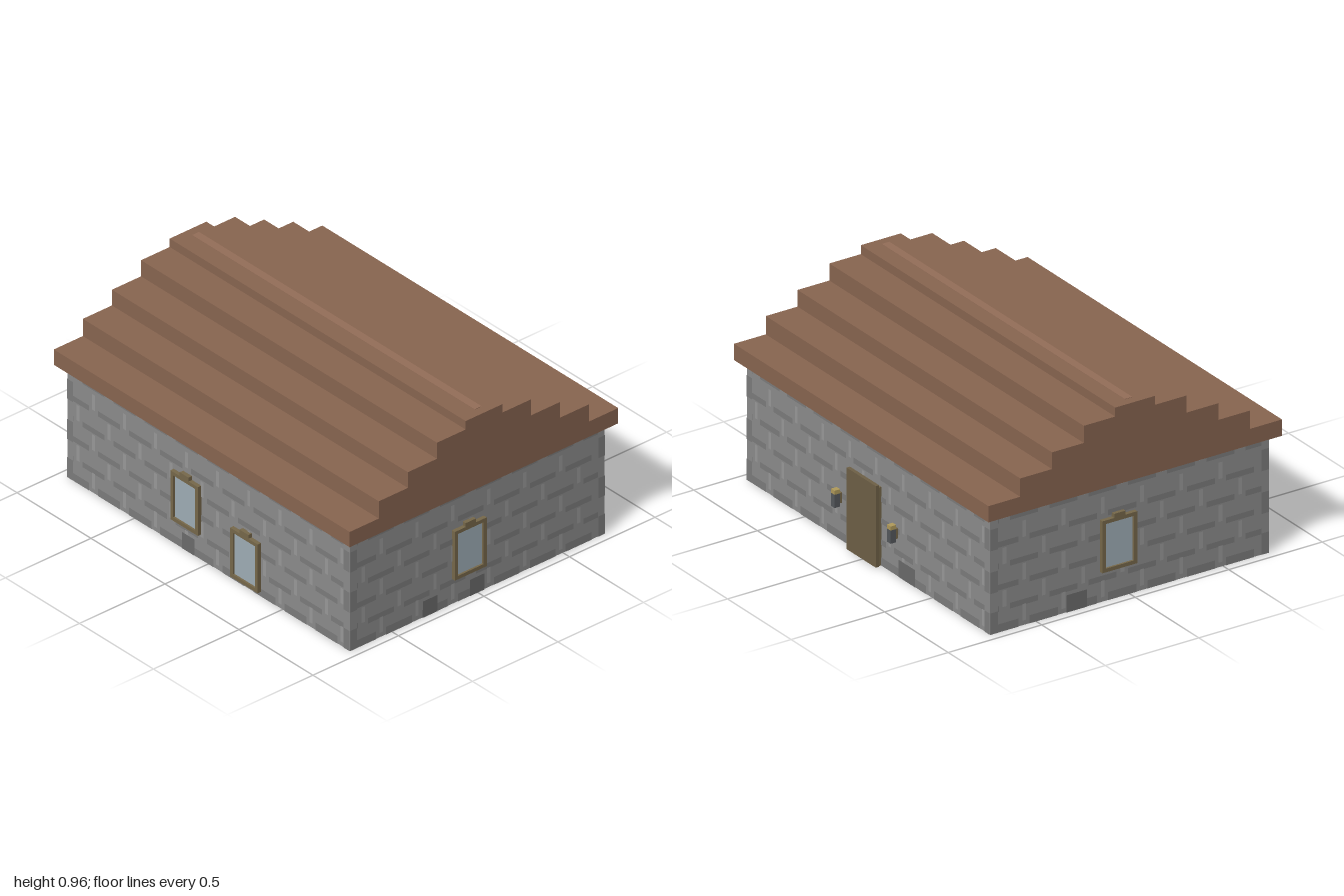
import * as THREE from 'three';
import { mergeGeometries } from 'three/addons/utils/BufferGeometryUtils.js';

const mat = (color) => new THREE.MeshStandardMaterial({ color, flatShading: true });
const M = {
  wall: mat(0x8c8c8c), mortar: mat(0x7c7c7c), light: mat(0x999999), block: mat(0x6b6b6b),
  roof: mat(0x886550), ridge: mat(0x946e58), frame: mat(0x76684a), glass: mat(0x9fadb6),
  door: mat(0x6e6046), metal: mat(0x55585c), lamp: mat(0xb09a5a),
};
const HX = 0.955, HZ = 0.745, WALL_H = 0.58;

// Box given by its lower and upper limits
function box(x0, x1, y0, y1, z0, z1) {
  return new THREE.BoxGeometry(x1 - x0, y1 - y0, z1 - z0)
    .translate((x0 + x1) / 2, (y0 + y1) / 2, (z0 + z1) / 2);
}
// Thin stone facing just proud of the wall
function plate(x0, x1, y0, y1, z = 0.002) {
  return new THREE.PlaneGeometry(x1 - x0, y1 - y0).translate((x0 + x1) / 2, (y0 + y1) / 2, z);
}
function add(parent, name, geometry, material) {
  const mesh = new THREE.Mesh(geometry, material);
  mesh.name = name;
  parent.add(mesh);
  return mesh;
}

// Courses of stones: dark bed joints, pale upright joints, alternating corner stones
function stonework(wall, half) {
  const beds = [0.02, 0.115, 0.22, 0.325, 0.43, 0.55];
  const dark = [], pale = [], inner = half - 0.04, pitch = 0.21;
  beds.forEach((y, row) => {
    const h = row === 0 ? 0.02 : 0.014;
    const shift = row % 2 ? pitch / 2 : 0;
    for (let x = -half - pitch + shift; x < half; x += pitch) {
      const a = Math.max(x, -inner), b = Math.min(x + 0.15, inner);
      if (b > a) dark.push(plate(a, b, y - h, y + h));
      const c = x + 0.17;
      if (c > -inner && c + 0.02 < inner) {
        pale.push(plate(c, c + 0.02, y + 0.004, Math.min(y + 0.085, 0.575), 0.003));
      }
    }
    if (row % 2 === 0) {
      for (const s of [-1, 1]) {
        const x = s * (half - 0.02);
        dark.push(plate(x - 0.02, x + 0.02, y - 0.02, Math.min(y + 0.085, 0.575), 0.0025));
      }
    }
  });
  add(wall, 'bedJoints', mergeGeometries(dark), M.mortar);
  add(wall, 'uprightJoints', mergeGeometries(pale), M.light);
}

// Framed window with a small keystone above it
function windowUnit(wall, x, y) {
  const g = new THREE.Group();
  g.name = 'window';
  const w = 0.093, h = 0.255, t = 0.018, d = 0.02;
  add(g, 'windowFrame', mergeGeometries([
    box(-w, -w + t, 0, h, 0, d), box(w - t, w, 0, h, 0, d),
    box(-w + t, w - t, 0, t, 0, d), box(-w + t, w - t, h - t, h, 0, d),
    box(-0.03, 0.03, h, h + 0.02, 0, d),
  ]), M.frame);
  add(g, 'windowPane', box(-w + t, w - t, t, h - t, 0, 0.01), M.glass);
  g.position.set(x, y, 0);
  wall.add(g);
}

// One face of the house; local x runs along it and local z points outwards
function wallFace(name, half, dist, angle, blocks, windows) {
  const wall = new THREE.Group();
  wall.name = name;
  wall.rotation.y = angle;
  wall.position.set(Math.sin(angle) * dist, 0, Math.cos(angle) * dist);
  stonework(wall, half);
  for (const [x0, x1] of blocks) add(wall, 'baseStone', plate(x0, x1, 0, 0.085, 0.004), M.block);
  for (const [x, y] of windows) windowUnit(wall, x, y);
  return wall;
}

export function createModel() {
  const house = new THREE.Group();
  house.name = 'house';
  add(house, 'walls', box(-HX, HX, 0, WALL_H, -HZ, HZ), M.wall);

  // Stone faces with their windows
  const back = wallFace('backWall', HX, HZ, Math.PI, [[0.24, 0.37]], []);
  house.add(
    wallFace('frontWall', HX, HZ, 0, [[-0.175, -0.09]], [[-0.142, 0.13], [0.262, 0.023]]),
    wallFace('plusXWall', HZ, HX, Math.PI / 2, [[-0.32, -0.235], [-0.045, 0.04]], [[-0.055, 0.13]]),
    wallFace('minusXWall', HZ, HX, -Math.PI / 2, [[-0.34, -0.23]], [[-0.065, 0.15]]),
    back,
  );

  // Back door and a lantern on either side
  add(back, 'doorCore', box(-0.1, 0.1, 0, 0.385, 0, 0.022), M.frame);
  add(back, 'door', box(-0.115, 0.115, 0.005, 0.405, 0.022, 0.04), M.door);
  for (const x of [-0.22, 0.22]) {
    const lantern = new THREE.Group();
    lantern.name = 'lantern';
    lantern.position.x = x;
    add(lantern, 'lanternBracket', box(-0.012, 0.012, 0.185, 0.235, 0, 0.02), M.frame);
    add(lantern, 'lanternBody', box(-0.014, 0.014, 0.17, 0.235, 0.012, 0.042), M.metal);
    add(lantern, 'lanternCap', box(-0.014, 0.014, 0.235, 0.255, 0.012, 0.042), M.lamp);
    back.add(lantern);
  }

  // Stepped roof: one profile run along x
  const steps = [[0.785, 0.66], [0.615, 0.75], [0.445, 0.832], [0.275, 0.916], [0.107, 0.96]];
  const side = [];
  let y = WALL_H;
  for (const [z, top] of steps) {
    side.push([z, y], [z, top]);
    y = top;
  }
  const outline = [...side, ...side.map(([z, h]) => [-z, h]).reverse()];
  const shape = new THREE.Shape(outline.map(([z, h]) => new THREE.Vector2(z, h)));
  const roof = new THREE.ExtrudeGeometry(shape, { depth: 2, bevelEnabled: false });
  roof.translate(0, 0, -1).rotateY(Math.PI / 2);
  add(house, 'roof', roof, M.roof);
  add(house, 'ridgeStrip', box(-HX, HX, 0.955, 0.962, -0.025, 0.015), M.ridge);
  return house;
}
